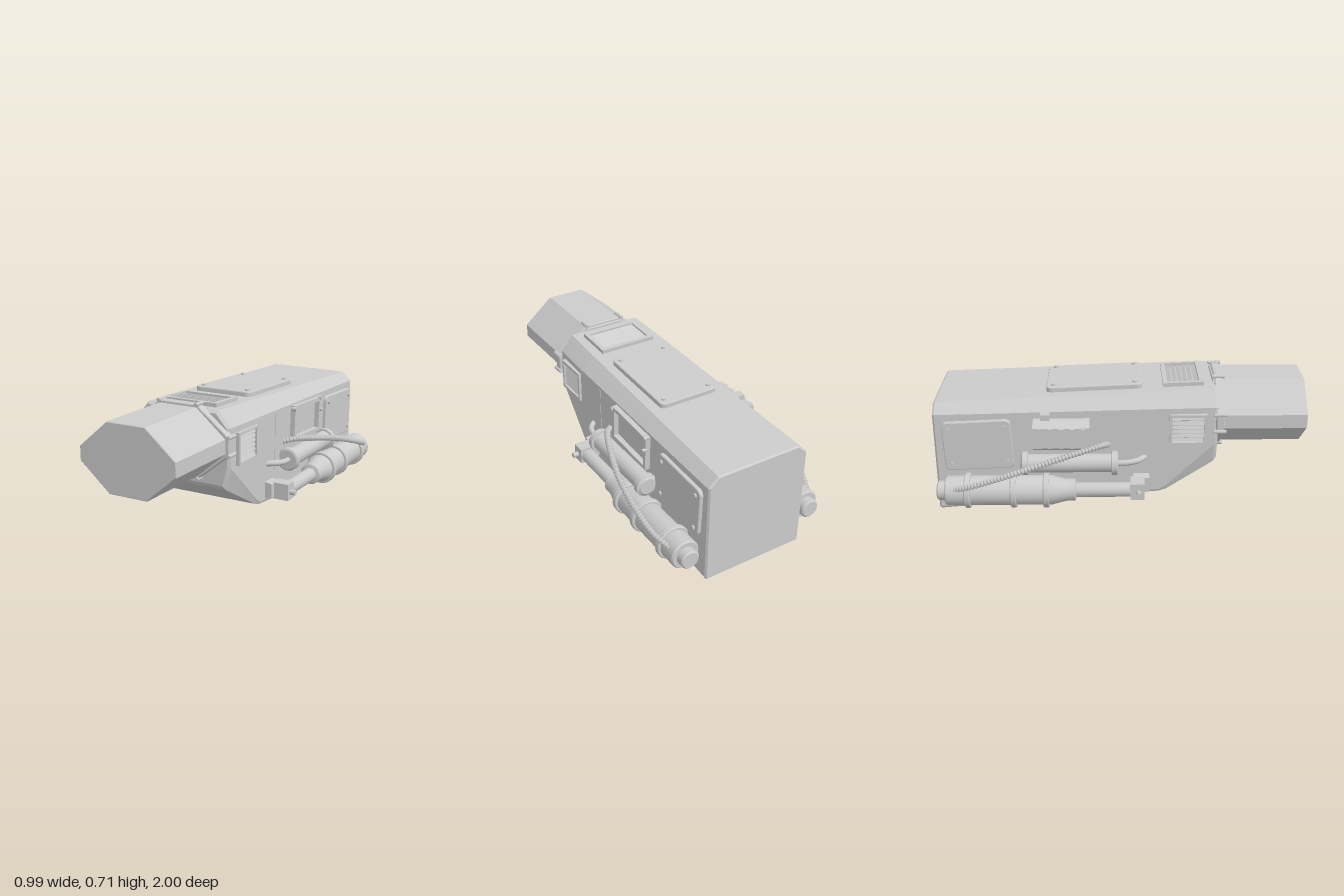
import * as THREE from 'three';
import { toCreasedNormals } from 'three/addons/utils/BufferGeometryUtils.js';

const TILT = -0.043; // slope of the roof line
const mat = new THREE.MeshStandardMaterial({ color: 0xcccccc, side: THREE.DoubleSide });

function add(parent, name, geo, x = 0, y = 0, z = 0) {
  const m = new THREE.Mesh(geo, mat);
  m.name = name;
  m.position.set(x, y, z);
  parent.add(m);
  return m;
}
const box = (w, h, d) => new THREE.BoxGeometry(w, h, d);
const rod = (r, len, sides = 16) => new THREE.CylinderGeometry(r, r, len, sides);

// Hull: convex cross-sections joined from back to front
function hullGeometry() {
  // z, bottom y, bottom half width, lower corner y, half width, shoulder y, roof half width, roof y
  const rows = [
    [-1, 0.004, 0.28, 0.012, 0.286, 0.56, 0.235, 0.606],
    [-0.99, 0, 0.288, 0.012, 0.294, 0.56, 0.24, 0.612],
    [0.21, 0.1, 0.288, 0.112, 0.294, 0.59, 0.222, 0.664],
    [0.25, 0.112, 0.284, 0.14, 0.294, 0.59, 0.222, 0.665],
    [0.505, 0.262, 0.25, 0.38, 0.284, 0.592, 0.212, 0.675],
    [0.522, 0.285, 0.24, 0.385, 0.27, 0.588, 0.205, 0.662],
  ];
  const rings = rows.map(([z, yb, wb, yl, w, ys, wt, yt]) => {
    const right = [[wb, yb], [w, yl], [w, ys], [wt, yt]];
    const left = right.map(([x, y]) => [-x, y]).reverse();
    return [...right, ...left].map(([x, y]) => [x, y, z]);
  });
  const pos = [];
  const tri = (a, b, c) => pos.push(...a, ...b, ...c);
  for (let k = 0; k < rings.length - 1; k++) {
    const a = rings[k], b = rings[k + 1];
    for (let i = 0; i < 8; i++) {
      const j = (i + 1) % 8;
      tri(a[i], a[j], b[j]);
      tri(a[i], b[j], b[i]);
    }
  }
  const back = rings[0], front = rings[rings.length - 1];
  for (let i = 1; i < 7; i++) {
    tri(front[0], front[i], front[i + 1]);
    tri(back[0], back[i + 1], back[i]);
  }
  const g = new THREE.BufferGeometry();
  g.setAttribute('position', new THREE.Float32BufferAttribute(pos, 3));
  return toCreasedNormals(g, 0.3);
}

// Octagon given by its outer and inner corner distances
const octagonPoints = (x1, x2, y1, y2) => [[x1, -y2], [x2, -y1], [x2, y1], [x1, y2],
  [-x1, y2], [-x2, y1], [-x2, -y1], [-x1, -y2]].map(([x, y]) => new THREE.Vector2(x, y));
function prism(points, depth, bevel) {
  return new THREE.ExtrudeGeometry(new THREE.Shape(points), { depth: depth - 2 * bevel, bevelEnabled: true,
    bevelThickness: bevel, bevelSize: bevel, bevelOffset: -bevel, bevelSegments: 1 }).translate(0, 0, bevel);
}

// Rounded cover plate with four screws, facing +z
function cover(name, w, h, thick) {
  const g = new THREE.Group();
  g.name = name;
  const r = 0.03, a = w / 2, b = h / 2, s = new THREE.Shape();
  s.absarc(a - r, b - r, r, 0, Math.PI / 2);
  s.absarc(r - a, b - r, r, Math.PI / 2, Math.PI);
  s.absarc(r - a, r - b, r, Math.PI, Math.PI * 1.5);
  s.absarc(a - r, r - b, r, Math.PI * 1.5, Math.PI * 2);
  add(g, 'plate', new THREE.ExtrudeGeometry(s, { depth: thick - 0.006, curveSegments: 4, bevelThickness: 0.006,
    bevelSize: 0.006, bevelOffset: -0.006, bevelSegments: 2 }));
  for (const x of [-1, 1]) for (const y of [-1, 1])
    add(g, 'screw', rod(0.012, 0.014, 10), x * (a - 0.035), y * (b - 0.04), thick + 0.002).rotation.x = Math.PI / 2;
  return g;
}

// Framed opening with optional louvre slats, facing +z
function frame(name, w, h, bar, depth, slats) {
  const g = new THREE.Group();
  g.name = name;
  for (const s of [-1, 1]) {
    add(g, 'frameBar', box(w, bar, depth), 0, s * (h - bar) / 2, depth / 2);
    add(g, 'framePost', box(bar, h - 2 * bar, depth), s * (w - bar) / 2, 0, depth / 2);
  }
  const inner = h - 2 * bar;
  for (let i = 0; i < slats; i++)
    add(g, 'slat', box(w - 2 * bar, inner / slats * 0.8, 0.006), 0,
      -inner / 2 + (i + 0.5) * inner / slats, depth * 0.45).rotation.x = -0.45;
  return g;
}

// Lathed part along z; profile is [radius, z] from front to back
function lathe(profile) {
  const g = new THREE.LatheGeometry(profile.map(([r, z]) => new THREE.Vector2(r, z)), 24);
  return toCreasedNormals(g.rotateX(Math.PI / 2), 0.5);
}

// Ribbed flexible hose
function hose(s) {
  const g = new THREE.Group();
  g.name = 'ribbedHose';
  const path = new THREE.CatmullRomCurve3([[0.29, 0.385, -0.07], [0.335, 0.395, -0.11], [0.405, 0.372, -0.27],
    [0.455, 0.335, -0.44], [0.476, 0.275, -0.64], [0.468, 0.225, -0.79], [0.435, 0.19, -0.88]]
    .map(([x, y, z]) => new THREE.Vector3(s * x, y, z)));
  add(g, 'hoseCore', new THREE.TubeGeometry(path, 48, 0.013, 8));
  const rib = new THREE.TorusGeometry(0.01, 0.008, 6, 12), n = 48;
  for (let i = 0; i <= n; i++) {
    const p = path.getPointAt(i / n);
    const m = add(g, 'hoseRib', rib, p.x, p.y, p.z);
    m.lookAt(p.clone().add(path.getTangentAt(i / n)));
  }
  return g;
}

// Everything bolted to one flank; s = +1 left, -1 right
function flank(s) {
  const g = new THREE.Group();
  g.name = s > 0 ? 'leftFlank' : 'rightFlank';
  const mount = (part, x, y, z) => {
    part.position.set(s * x, y, z);
    part.rotation.set(TILT, s * Math.PI / 2, 0);
    g.add(part);
  };
  mount(cover('sideCover', 0.37, 0.28, 0.022), 0.292, 0.39, -0.765);
  const vent = frame('sideVent', 0.2, 0.175, 0.015, 0.028, 6);
  mount(vent, 0.28, 0.472, 0.36);
  vent.rotation.x = 0;
  add(g, 'panelSeam', box(0.004, 0.32, 0.012), s * 0.294, 0.41, 0.04);

  // Large ram
  const X = s * 0.375, Y = 0.155;
  add(g, 'ramBarrel', lathe([[0, -0.985], [0.045, -0.985], [0.052, -0.978], [0.052, -0.94], [0.074, -0.94],
    [0.08, -0.932], [0.08, -0.37], [0.06, -0.295], [0.06, -0.245], [0.05, -0.24], [0, -0.24]]), X, Y);
  for (const z of [-0.4, -0.575, -0.82])
    add(g, 'ramBand', lathe([[0.075, -0.016], [0.09, -0.016], [0.095, -0.011], [0.095, 0.011], [0.09, 0.016],
      [0.075, 0.016]]), X, Y, z);
  add(g, 'ramRod', rod(0.04, 0.32), X, Y, -0.09).rotation.x = Math.PI / 2;
  add(g, 'rodEnd', box(0.095, 0.092, 0.075), s * 0.372, 0.16, 0.09);
  const arm = box(0.05, 0.1, 0.085);
  const p = arm.attributes.position; // bracket narrows away from the hull
  for (let i = 0; i < p.count; i++) if (p.getX(i) * s > 0) p.setY(i, p.getY(i) * 0.8);
  arm.computeVertexNormals();
  add(g, 'rodBracket', arm, s * 0.31, 0.163, 0.113);
  add(g, 'rodPin', rod(0.015, 0.05, 12), s * 0.425, 0.157, 0.095).rotation.z = Math.PI / 2;
  for (const z of [-0.48, -0.72]) add(g, 'ramBracket', box(0.1, 0.05, 0.05), s * 0.3, Y, z);

  // Small accumulator with feed pipe
  add(g, 'accumulator', lathe([[0, -0.535], [0.045, -0.535], [0.05, -0.53], [0.063, -0.525], [0.063, -0.497],
    [0.05, -0.495], [0.05, -0.05], [0.065, -0.048], [0.065, -0.02], [0.055, -0.014], [0, -0.014]]), s * 0.34, 0.298);
  const feed = new THREE.CatmullRomCurve3([[0.345, 0.298, -0.03], [0.345, 0.3, 0.03], [0.33, 0.306, 0.09],
    [0.28, 0.308, 0.135]].map(([x, y, z]) => new THREE.Vector3(s * x, y, z)));
  add(g, 'feedPipe', new THREE.TubeGeometry(feed, 16, 0.016, 10));
  g.add(hose(s));

  if (s > 0) {
    // Open guard frame on the left
    mount(frame('guardFrame', 0.34, 0.2, 0.02, 0.035, 0), 0.288, 0.465, -0.31);
    for (const z of [-0.145, -0.475]) {
      add(g, 'guardKnob', rod(0.012, 0.03, 10), 0.317, 0.556, z).rotation.z = Math.PI / 2;
    }
    add(g, 'guardBolt', rod(0.01, 0.03, 10), 0.325, 0.485, -0.475).rotation.z = Math.PI / 2;
  } else {
    // Ribbed control box with a latch on the right
    const shape = new THREE.Shape([[-0.29, 0.385], [-0.29, 0.54], [-0.325, 0.535], [-0.375, 0.515], [-0.375, 0.4],
      [-0.36, 0.385]].map(([x, y]) => new THREE.Vector2(x, y)));
    add(g, 'controlBox', new THREE.ExtrudeGeometry(shape, { depth: 0.3, bevelEnabled: false }), 0, 0, -0.465);
    for (let i = 0; i < 5; i++) add(g, 'boxRib', box(0.02, 0.11, 0.022), -0.375, 0.458, -0.43 + i * 0.058);
    add(g, 'latch', box(0.05, 0.03, 0.05), -0.315, 0.56, -0.4);
  }
  return g;
}

export function createModel() {
  const model = new THREE.Group();
  model.name = 'housing';
  add(model, 'hull', hullGeometry());

  // Octagonal muzzle, collar and collar bolts
  const cy = 0.508;
  add(model, 'muzzle', prism(octagonPoints(0.11, 0.28, 0.038, 0.182), 0.5, 0.004), 0, cy, 0.5);
  const collar = octagonPoints(0.113, 0.3, 0.048, 0.196);
  add(model, 'collar', prism(collar, 0.045, 0.005), 0, cy, 0.51);
  for (const c of collar)
    add(model, 'collarBolt', rod(0.011, 0.07, 8), c.x, cy + c.y, 0.53).rotation.x = Math.PI / 2;

  // Roof cover and roof vent
  const roof = (part, y, z) => {
    part.position.set(0, y, z);
    part.rotation.x = -Math.PI / 2 + TILT;
    model.add(part);
  };
  roof(cover('roofCover', 0.345, 0.52, 0.03), 0.646, -0.14);
  roof(frame('roofVent', 0.33, 0.22, 0.024, 0.026, 6), 0.664, 0.34);

  for (const s of [1, -1]) model.add(flank(s));
  return model;
}
